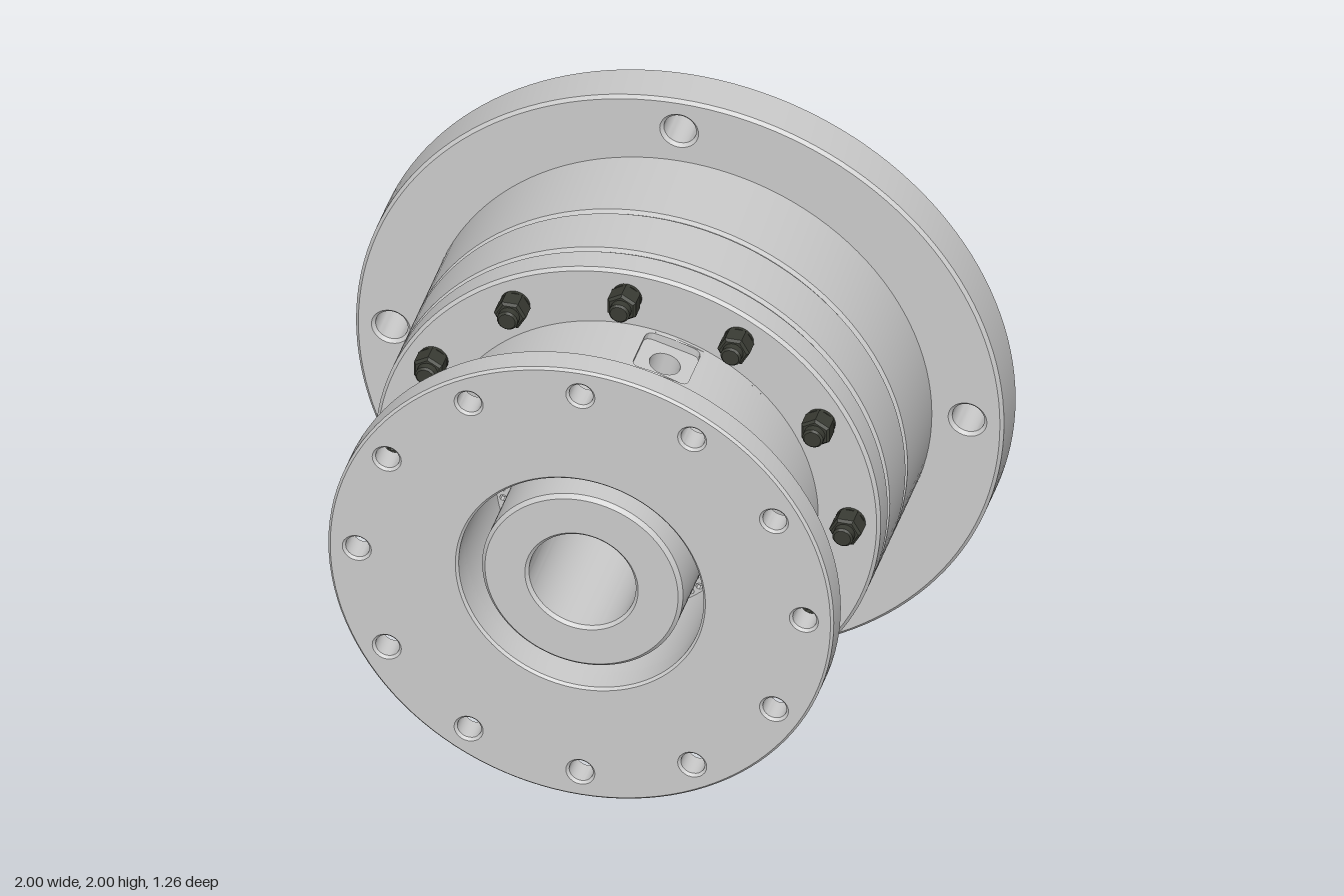
import * as THREE from 'three';
import { toCreasedNormals } from 'three/addons/utils/BufferGeometryUtils.js';

const grey = new THREE.MeshStandardMaterial({ color: 0xcccccc });
const dark = new THREE.MeshStandardMaterial({ color: 0x3a3c34 });
const NECK_R = 0.59;
const rad = THREE.MathUtils.degToRad;

// Polar position: angle in degrees from straight up, turning towards +x
const polar = (r, deg) => [r * Math.sin(rad(deg)), r * Math.cos(rad(deg))];

// Circle as a list of points
function circle(r, n, cx = 0, cy = 0) {
  return Array.from({ length: n }, (_, i) => {
    const a = (i / n) * Math.PI * 2;
    return new THREE.Vector2(cx + r * Math.cos(a), cy + r * Math.sin(a));
  });
}

// Plate between z0 and z1 with holes and optional chamfered edges
function plate(outline, holes, z0, z1, bevel = 0) {
  const shape = new THREE.Shape(outline);
  shape.holes = holes.map((h) => new THREE.Path(h));
  const geo = new THREE.ExtrudeGeometry(shape, {
    depth: z1 - z0 - 2 * bevel,
    bevelEnabled: bevel > 0,
    bevelThickness: bevel,
    bevelSize: bevel,
    bevelOffset: -bevel,
    bevelSegments: 1,
  });
  geo.translate(0, 0, z0 + bevel);
  return toCreasedNormals(geo, 0.5);
}

// Turned part about the z axis from [radius, z] points
function turned(points, start = 0, length = Math.PI * 2) {
  const segs = Math.max(8, Math.round((length / (Math.PI * 2)) * 120));
  const geo = new THREE.LatheGeometry(points.map((p) => new THREE.Vector2(...p)), segs, start, length);
  geo.rotateX(Math.PI / 2);
  return toCreasedNormals(geo, 0.4);
}

function add(parent, name, geo, mat = grey) {
  const mesh = new THREE.Mesh(geo, mat);
  mesh.name = name;
  parent.add(mesh);
  return mesh;
}

// Socket head screw facing +z, base at z = 0
function socketScrew(r, socket, height) {
  const g = new THREE.Group();
  g.name = 'socketScrew';
  add(g, 'screwHead', plate(circle(r, 28), [circle(socket, 6)], 0, height, 0.006), dark);
  add(g, 'socketFloor', new THREE.CircleGeometry(socket * 1.1, 6).translate(0, 0, height * 0.3), dark);
  return g;
}

// Stud end with hex nut, facing +z
function studNut() {
  const g = new THREE.Group();
  g.name = 'studNut';
  const piece = (name, r0, r1, h, sides, z) => add(g, name,
    toCreasedNormals(new THREE.CylinderGeometry(r1, r0, h, sides).rotateX(Math.PI / 2).translate(0, 0, z + h / 2), 0.5), dark);
  piece('washer', 0.046, 0.046, 0.012, 24, 0);
  piece('nut', 0.05, 0.05, 0.05, 6, 0.012);
  piece('nutChamfer', 0.05, 0.042, 0.008, 6, 0.062);
  piece('studEnd', 0.032, 0.032, 0.022, 20, 0.07);
  piece('studTip', 0.032, 0.026, 0.006, 20, 0.092);
  return g;
}

// Flat port pocket sunk in the neck; local z is radial, local y runs along the axis
function portPocket() {
  const g = new THREE.Group();
  g.name = 'portPocket';
  const edge = Array.from({ length: 9 }, (_, i) => -0.096 + 0.024 * i);
  const outer = [
    ...edge.map((x) => new THREE.Vector2(x, -0.095)),
    ...edge.map((x) => new THREE.Vector2(-x, 0.095)),
  ];
  const s = 0.088, c = 0.062;
  const opening = new THREE.Path();
  opening.moveTo(-c, -s).lineTo(c, -s).quadraticCurveTo(s, -s, s, -c);
  opening.lineTo(s, c).quadraticCurveTo(s, s, c, s).lineTo(-c, s);
  opening.quadraticCurveTo(-s, s, -s, c).lineTo(-s, -c).quadraticCurveTo(-s, -s, -c, -s);
  const inner = opening.getSpacedPoints(56).slice(0, -1);
  // Rim top follows the curve of the neck
  const rim = plate(outer, [inner], 0.54, NECK_R);
  const p = rim.attributes.position;
  for (let i = 0; i < p.count; i++) {
    if (p.getZ(i) > 0.58) p.setZ(i, Math.sqrt(NECK_R ** 2 - p.getX(i) ** 2));
  }
  add(g, 'pocketRim', toCreasedNormals(rim, 0.4));
  add(g, 'pocketFloor', plate(outer, [circle(0.048, 32)], 0.45, 0.562));
  add(g, 'portBottom', new THREE.CircleGeometry(0.055, 24).translate(0, 0, 0.46));
  return g;
}

export function createModel() {
  const model = new THREE.Group();
  const unit = new THREE.Group();
  unit.name = 'driveUnit';
  unit.position.y = 1;
  model.add(unit);
  const ring12 = Array.from({ length: 12 }, (_, i) => i * 30);

  // Rear mounting flange: through holes, screw holes, dowel holes
  const rearHoles = [
    circle(0.075, 32),
    ...[0, 90, 180, 270].map((a) => circle(0.05, 28, ...polar(0.89, a))),
    ...ring12.map((a) => circle(0.05, 24, ...polar(0.69, a))),
    ...[0, 40, 90, 180, 220, 270].map((a) => circle(0.045, 24, ...polar(0.49, a))),
    ...[0, 180].map((a) => circle(0.042, 24, ...polar(0.163, a))),
  ];
  add(unit, 'rearFlange', plate(circle(1, 144), rearHoles, -0.63, -0.48, 0.01));

  // Main body: three stacked rings divided by narrow grooves
  const groove = (z) => [[0.78, z - 0.012], [0.768, z - 0.005], [0.768, z + 0.005], [0.78, z + 0.012]];
  add(unit, 'body', turned([
    [0, -0.5], [0.78, -0.5], ...groove(-0.195), ...groove(0.005),
    [0.78, 0.095], [0.77, 0.105], [0.5, 0.105],
  ]));

  // Neck, left open where the port pockets sit
  const z0 = 0.115, z1 = 0.305;
  add(unit, 'neckRear', turned([[NECK_R, 0.1], [NECK_R, z0]]));
  add(unit, 'neckFront', turned([[NECK_R, z1], [NECK_R, 0.53], [0.6, 0.545]]));
  add(unit, 'neckBore', turned([[0.378, 0.56], [0.378, 0.18]]));
  const half = Math.asin(0.095 / NECK_R);
  for (const a of [15, 135, 255]) {
    const start = Math.PI - rad(a + 120) + half;
    add(unit, 'neckWall', turned([[NECK_R, z0], [NECK_R, z1]], start, rad(120) - 2 * half));
    const turn = new THREE.Group();
    turn.name = 'port';
    turn.rotation.z = -rad(a);
    const pocket = portPocket();
    pocket.rotation.x = -Math.PI / 2;
    pocket.position.z = (z0 + z1) / 2;
    turn.add(pocket);
    unit.add(turn);
  }

  // Front flange
  const frontHoles = [circle(0.378, 96), ...ring12.map((a) => circle(0.037, 24, ...polar(0.69, a)))];
  add(unit, 'frontFlange', plate(circle(0.78, 120), frontHoles, 0.535, 0.63, 0.008));

  // Hollow hub with a screw at the bottom of its bore
  add(unit, 'hub', turned([
    [0.39, 0.17], [0.31, 0.17], [0.31, 0.605], [0.298, 0.617],
    [0.175, 0.617], [0.165, 0.607], [0.165, 0], [0, 0],
  ]));
  const centre = socketScrew(0.093, 0.048, 0.08);
  centre.name = 'centreScrew';
  unit.add(centre);

  // Perforated ring at the bottom of the gap round the hub
  const pores = [];
  for (let i = 0; i < 66; i++) {
    pores.push(circle(0.011, 8, ...polar(0.36, (i * 360) / 66)));
    pores.push(circle(0.01, 8, ...polar(0.329, ((i + 0.5) * 360) / 66)));
  }
  add(unit, 'perforatedRing', plate(circle(0.385, 96), [circle(0.305, 96), ...pores], 0.18, 0.2));

  // Nuts on the body front and screws in the rear flange
  for (const a of ring12) {
    const [x, y] = polar(0.69, a);
    const nut = studNut();
    nut.position.set(x, y, 0.103);
    nut.rotation.z = -rad(a);
    unit.add(nut);
    const screw = socketScrew(0.044, 0.024, 0.09);
    screw.position.set(x, y, -0.505);
    screw.rotation.y = Math.PI;
    unit.add(screw);
  }
  return model;
}
